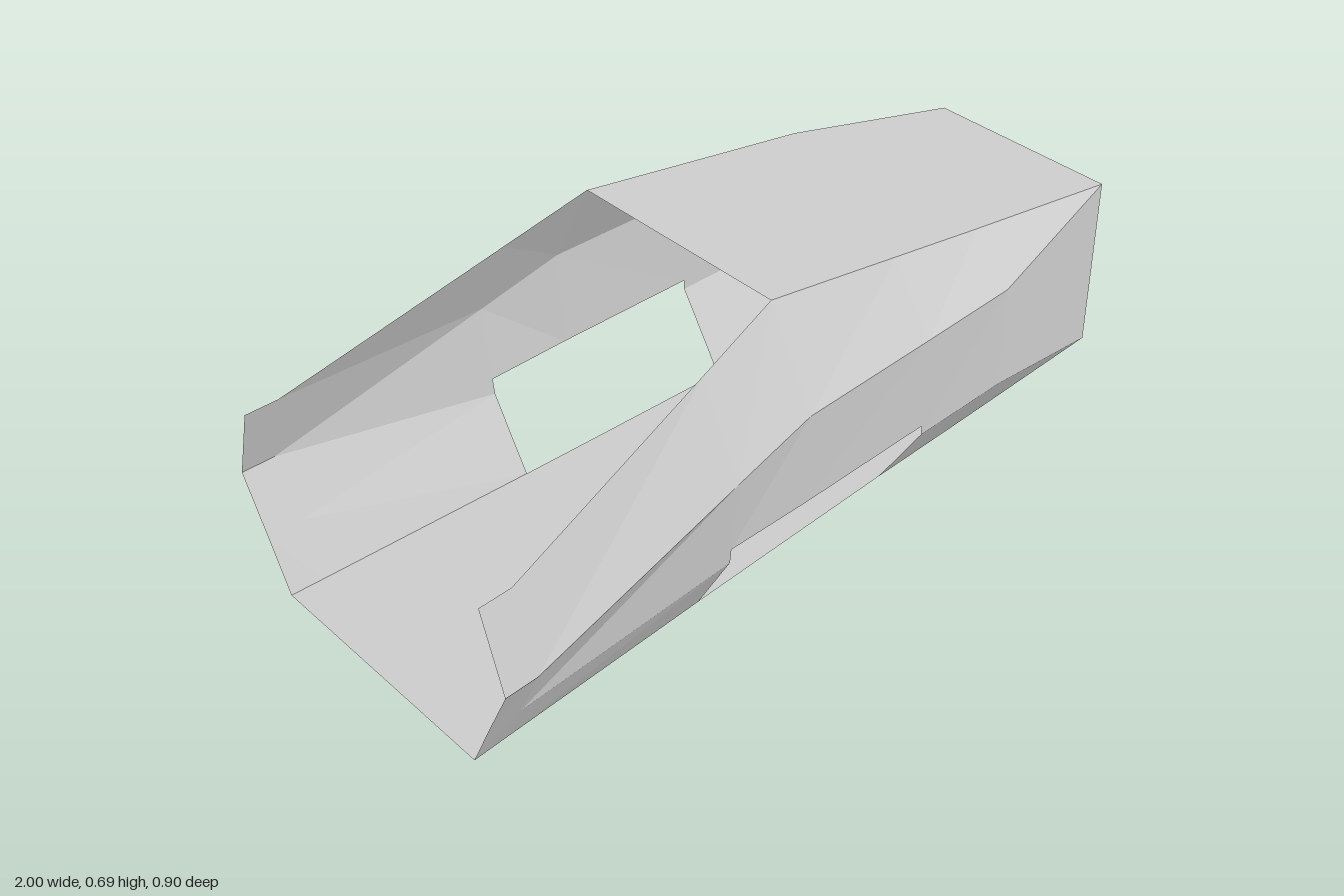
import * as THREE from 'three';

// Cross-sections along x: each has [y, z] for sill, lower crease, shoulder and top rail
const sections = [
  { x: -1.0, p: [[0, 0.325], [0.13, 0.385], [0.27, 0.452], [0.46, 0.392]] },
  { x: -0.92, p: [[0, 0.321], [0.13, 0.385], [0.27, 0.45], [0.46, 0.39]] },
  { x: -0.37, p: [[0, 0.296], [0.18, 0.396], [0.407, 0.421], [0.625, 0.318]] },
  { x: -0.155, p: [[0, 0.288], [0.195, 0.4], [0.46, 0.41], [0.69, 0.289]] },
  { x: 0.22, p: [[0, 0.275], [0.195, 0.394], [0.46, 0.399], [0.623, 0.289]] },
  { x: 0.49, p: [[0, 0.269], [0.195, 0.39], [0.46, 0.39], [0.575, 0.289]] },
  { x: 1.0, p: [[0, 0.255], [0, 0.255], [0.46, 0.255], [0.46, 0.255]] },
];
const DOORWAY = { from: 2, to: 4, top: 0.22 };

const material = new THREE.MeshStandardMaterial({
  color: 0xcccccc, flatShading: true, side: THREE.DoubleSide,
});

// Corner of a section on one side (+1 front, -1 back)
const corner = (i, row, side) => {
  const [y, z] = sections[i].p[row];
  return new THREE.Vector3(sections[i].x, y, z * side);
};

// Mesh from four-cornered panels, dropping collapsed triangles
function panelMesh(name, quads) {
  const points = [];
  for (const [a, b, c, d] of quads) {
    for (const tri of [[a, b, c], [a, c, d]]) {
      if (new THREE.Triangle(...tri).getArea() > 1e-6) points.push(...tri);
    }
  }
  const geometry = new THREE.BufferGeometry().setFromPoints(points);
  geometry.computeVertexNormals();
  const mesh = new THREE.Mesh(geometry, material);
  mesh.name = name;
  return mesh;
}

// One band of the side wall, between two rows of corners
function wallBand(name, row, side) {
  const quads = [];
  for (let i = 0; i < sections.length - 1; i++) {
    const open = i >= DOORWAY.from && i < DOORWAY.to;
    if (open && row === 0) continue;
    // Above the doorway the middle band starts at the door head
    const lower = (k) => {
      const low = corner(k, row, side);
      if (!open || row !== 1) return low;
      const high = corner(k, row + 1, side);
      return low.clone().lerp(high, (DOORWAY.top - low.y) / (high.y - low.y));
    };
    const quad = [lower(i), lower(i + 1), corner(i + 1, row + 1, side), corner(i, row + 1, side)];
    quads.push(side > 0 ? quad : quad.reverse());
  }
  return panelMesh(name, quads);
}

// Flat strip spanning from the back wall to the front wall
function span(name, row, first, up) {
  const quads = [];
  for (let i = first; i < sections.length - 1; i++) {
    const quad = [corner(i, row, 1), corner(i + 1, row, 1), corner(i + 1, row, -1), corner(i, row, -1)];
    quads.push(up ? quad : quad.reverse());
  }
  return panelMesh(name, quads);
}

export function createModel() {
  const model = new THREE.Group();
  model.name = 'hullShell';

  // Side walls, mirrored front to back
  for (const [label, side] of [['front', 1], ['back', -1]]) {
    const wall = new THREE.Group();
    wall.name = `${label}Wall`;
    ['LowerPanel', 'MiddlePanel', 'UpperPanel'].forEach((band, row) =>
      wall.add(wallBand(label + band, row, side)));
    model.add(wall);
  }

  // Full-length floor, and a roof that leaves the tail open
  model.add(span('floor', 0, 0, false));
  model.add(span('roof', 3, 3, true));
  return model;
}
